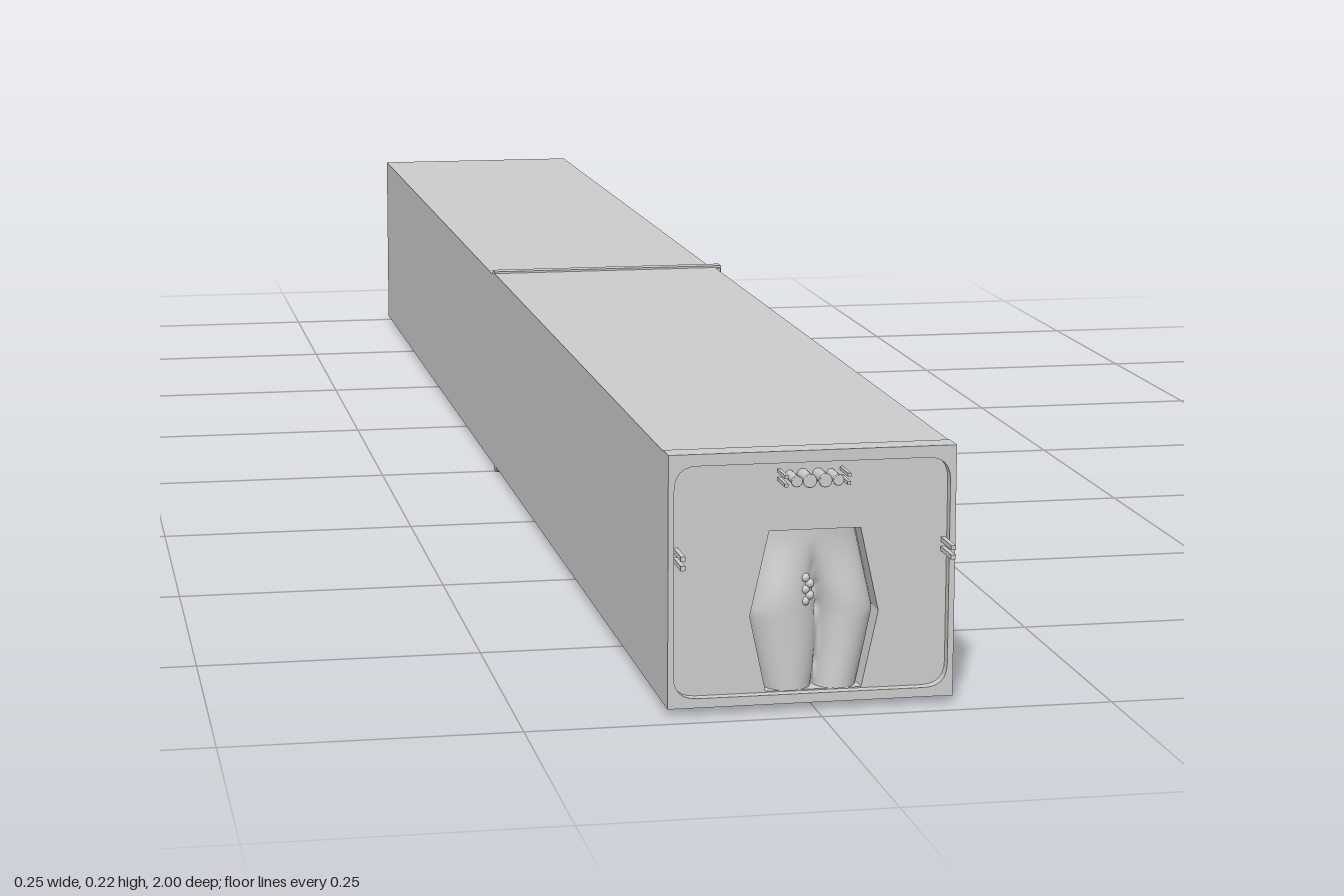
import * as THREE from 'three';

const grey = new THREE.MeshStandardMaterial({ color: 0xcccccc, side: THREE.DoubleSide });

function add(parent, name, geometry, x = 0, y = 0, z = 0) {
  const mesh = new THREE.Mesh(geometry, grey);
  mesh.name = name;
  mesh.position.set(x, y, z);
  parent.add(mesh);
  return mesh;
}

// Rectangle with rounded corners, drawn as a Shape or as a hole Path
function rect(Type, x0, y0, x1, y1, r = 0) {
  const p = new Type();
  if (r === 0) {
    return p.moveTo(x0, y0).lineTo(x1, y0).lineTo(x1, y1).lineTo(x0, y1).lineTo(x0, y0);
  }
  p.moveTo(x0 + r, y0).lineTo(x1 - r, y0).quadraticCurveTo(x1, y0, x1, y0 + r);
  p.lineTo(x1, y1 - r).quadraticCurveTo(x1, y1, x1 - r, y1);
  p.lineTo(x0 + r, y1).quadraticCurveTo(x0, y1, x0, y1 - r);
  return p.lineTo(x0, y0 + r).quadraticCurveTo(x0, y0, x0 + r, y0);
}

function extrude(shape, depth, ...holes) {
  shape.holes.push(...holes);
  return new THREE.ExtrudeGeometry(shape, { depth, bevelEnabled: false, curveSegments: 6 });
}

// Six-sided hip outline: bottom, widest and top half-widths
const hipRows = [[0.041, 0.015], [0.055, 0.08], [0.039, 0.152]];
function hipOutline(Type, grow = 0) {
  const pts = hipRows.map(([w, y], i) => new THREE.Vector2(w + grow, y + (i - 1) * grow));
  const left = pts.map((p) => new THREE.Vector2(-p.x, p.y)).reverse();
  const path = new Type([...pts, ...left]);
  path.closePath();
  return path;
}

// Sculpted hips: one belly above, parting into two thighs below
function hipRelief(depth) {
  const g = new THREE.PlaneGeometry(2, 1, 40, 32);
  const pos = g.attributes.position;
  for (let i = 0; i < pos.count; i++) {
    const u = pos.getX(i);
    const v = pos.getY(i) + 0.5;
    const y = 0.015 + v * 0.137;
    const [a, b] = y < 0.08 ? [hipRows[0], hipRows[1]] : [hipRows[1], hipRows[2]];
    const w = THREE.MathUtils.mapLinear(y, a[1], b[1], a[0], b[0]);
    const mid = 0.05 + 0.08 * Math.sin(v * 5);
    const side = u < mid ? (u - mid) / (1 + mid) : (u - mid) / (1 - mid);
    const thigh = Math.sqrt(Math.max(0, 1 - (2 * Math.abs(side) - 1) ** 2));
    const belly = Math.sqrt(Math.max(0, 1 - u * u)) * 0.85;
    const blend = THREE.MathUtils.smoothstep(v, 0.5, 0.95);
    pos.setXYZ(i, u * w, y, depth * THREE.MathUtils.lerp(thigh, belly, blend));
  }
  g.computeVertexNormals();
  return g;
}

function hips(name, depth) {
  const group = new THREE.Group();
  group.name = name;
  add(group, 'hipSculpture', hipRelief(depth));
  // Small cluster where the thighs meet
  for (let i = 0; i < 5; i++) {
    add(group, 'cluster', new THREE.SphereGeometry(0.004, 10, 8),
      -0.007 + 0.004 * (i % 2), 0.09 + i * 0.005, depth * 0.75);
  }
  return group;
}

export function createModel() {
  const model = new THREE.Group();
  model.name = 'longCase';
  const X0 = -0.126, X1 = 0.118;

  // Two hollow case halves
  const tube = (y0, y1, depth) => extrude(rect(THREE.Shape, X0, y0, X1, y1), depth,
    rect(THREE.Path, X0 + 0.004, y0 + 0.004, X1 - 0.004, y1 - 0.004));
  add(model, 'frontCase', tube(0.006, 0.22, 0.955));
  add(model, 'rearCase', tube(0.005, 0.217, 1), 0, 0, -1);

  // Joint flange, offset to one side, with a thin second lip
  add(model, 'jointFlange', new THREE.BoxGeometry(0.251, 0.222, 0.014), -0.0005, 0.111, -0.002);
  add(model, 'jointLip', new THREE.BoxGeometry(0.248, 0.218, 0.008), -0.001, 0.111, 0.008);

  // Front rim with a rounded opening, and the recessed panel behind it
  add(model, 'frontRim', extrude(rect(THREE.Shape, X0, 0.006, X1, 0.221), 0.022,
    rect(THREE.Path, -0.121, 0.014, 0.113, 0.211, 0.02)), 0, 0, 0.955);
  add(model, 'frontPanel', extrude(rect(THREE.Shape, X0 + 0.003, 0.009, X1 - 0.003, 0.217), 0.025,
    hipOutline(THREE.Path)), 0, 0, 0.943);
  add(model, 'frontPanelBack', new THREE.BoxGeometry(0.238, 0.208, 0.004), -0.004, 0.113, 0.942);
  const frontHips = hips('frontHips', 0.026);
  frontHips.position.z = 0.944;
  model.add(frontHips);

  // Row of round studs near the top of the panel
  [[-0.022, 0.004], [-0.011, 0.005], [0.002, 0.005], [0.013, 0.004]].forEach(([x, r]) => {
    const stud = add(model, 'stud', new THREE.CylinderGeometry(r, r, 0.03, 16), x, 0.199, 0.98);
    stud.rotation.x = Math.PI / 2;
    add(model, 'studRing', new THREE.TorusGeometry(r, 0.001, 6, 16), x, 0.199, 0.994);
  });
  for (const x of [-0.031, 0.022]) {
    for (const y of [0.196, 0.203]) {
      add(model, 'pin', new THREE.BoxGeometry(0.003, 0.003, 0.03), x, y, 0.98);
    }
  }
  // Side pins at mid height
  for (const x of [-0.118, 0.11]) {
    for (const y of [0.131, 0.139]) {
      add(model, 'sidePin', new THREE.BoxGeometry(0.004, 0.004, 0.036), x, y, 0.982);
    }
  }

  // Framed hip relief on the side wall
  const sideRelief = new THREE.Group();
  sideRelief.name = 'sideRelief';
  add(sideRelief, 'sideFrame', extrude(hipOutline(THREE.Shape, 0.007), 0.005,
    hipOutline(THREE.Path)));
  add(sideRelief, 'sideFrameCap', new THREE.BoxGeometry(0.094, 0.008, 0.006), 0, 0.156, 0.003);
  sideRelief.add(hips('sideHips', 0.005));
  sideRelief.rotation.y = Math.PI / 2;
  sideRelief.position.set(X1, 0.009, 0.412);
  model.add(sideRelief);

  // Rear bulkhead, set just inside the open end
  add(model, 'rearBulkhead', new THREE.BoxGeometry(0.238, 0.206, 0.006), -0.004, 0.111, -0.965);

  // Mechanism fixed to the bulkhead: rails, hanging blocks and rollers
  const works = new THREE.Group();
  works.name = 'rearMechanism';
  model.add(works);
  for (const y of [0.2, 0.187, 0.168]) {
    add(works, 'rail', new THREE.BoxGeometry(0.17, 0.005, 0.008), 0.025, y, -0.975);
  }
  [[0.075, 0.13, 0.028, 0.13], [0.048, 0.15, 0.014, 0.09], [0.012, 0.155, 0.022, 0.07],
    [-0.015, 0.165, 0.014, 0.05], [-0.06, 0.18, 0.02, 0.03]].forEach(([x, y, w, h]) => {
    add(works, 'hanger', new THREE.BoxGeometry(w * 0.5, h, 0.014), x, y, -0.975);
    add(works, 'hangerFoot', new THREE.BoxGeometry(w, 0.016, 0.02), x, y - h / 2, -0.978);
    const roller = add(works, 'roller', new THREE.CylinderGeometry(w * 0.4, w * 0.4, 0.02, 16),
      x, y + h * 0.2, -0.98);
    roller.rotation.x = Math.PI / 2;
  });
  add(works, 'cornerCatch', new THREE.BoxGeometry(0.025, 0.018, 0.02), -0.105, 0.04, -0.978);

  // Curved link between the hangers
  const link = new THREE.CatmullRomCurve3([[0.1, 0.16], [0.06, 0.11], [0.03, 0.1], [0.01, 0.14]]
    .map(([x, y]) => new THREE.Vector3(x, y, -0.982)));
  add(works, 'curvedLink', new THREE.TubeGeometry(link, 24, 0.004, 8));

  return model;
}
